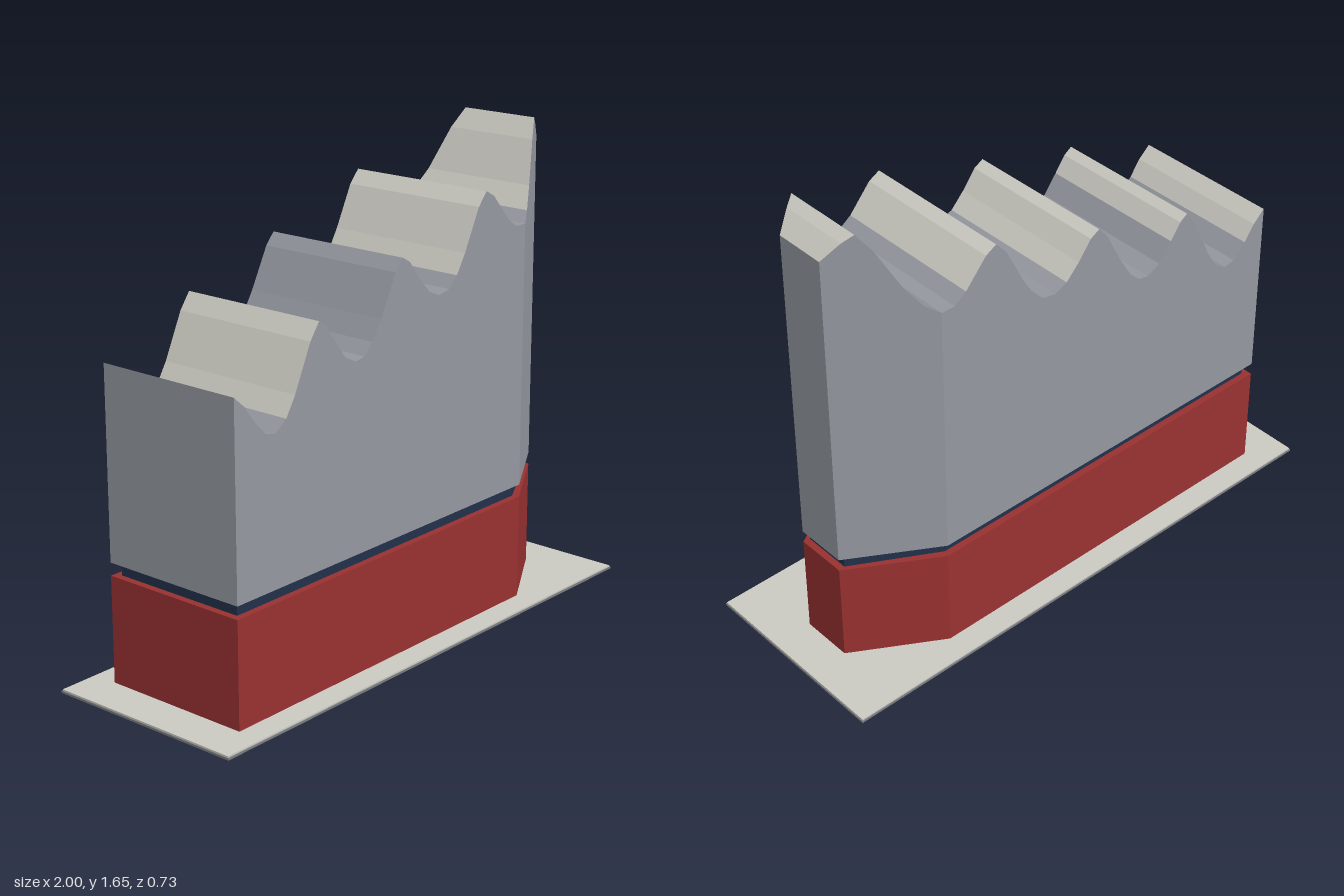
import * as THREE from 'three';

const mat = (name, color) => {
  const m = new THREE.MeshStandardMaterial({ color });
  m.name = name;
  return m;
};

// Half depth of the plan: straight sides, tapering to a blunt prow at +x
const halfDepth = (x) => (x <= 0.555 ? 0.272 : 0.272 - ((x - 0.555) / 0.3) * 0.18);

// Wave roof profile: x, y
const ROOF = [
  [-0.855, 1.075], [-0.81, 1.035], [-0.77, 0.98], [-0.72, 0.93], [-0.68, 0.92], [-0.63, 0.955],
  [-0.59, 1.02], [-0.52, 1.17], [-0.48, 1.225], [-0.45, 1.205], [-0.41, 1.15], [-0.36, 1.085],
  [-0.31, 1.06], [-0.27, 1.067], [-0.23, 1.105], [-0.19, 1.17], [-0.12, 1.305], [-0.085, 1.345],
  [-0.05, 1.325], [0, 1.26], [0.05, 1.208], [0.1, 1.187], [0.15, 1.197], [0.19, 1.235],
  [0.23, 1.3], [0.3, 1.44], [0.34, 1.485], [0.38, 1.463], [0.46, 1.372], [0.505, 1.34],
  [0.555, 1.34], [0.6, 1.373], [0.65, 1.445], [0.72, 1.585], [0.765, 1.65], [0.8, 1.625], [0.855, 1.57],
];

// Stretches of the roof with pale cladding
const PALE = [[-0.855, -0.77], [-0.63, -0.41], [-0.085, 0.05], [0.19, 0.46], [0.6, 0.855]];

// Flat-faced geometry from quads with corners in counter-clockwise order
function quadGeometry(quads) {
  const p = [];
  for (const [a, b, c, d] of quads) p.push(...a, ...b, ...c, ...a, ...c, ...d);
  const g = new THREE.BufferGeometry();
  g.setAttribute('position', new THREE.Float32BufferAttribute(p, 3));
  g.computeVertexNormals();
  return g;
}

// Prism over the building plan, drawn in by inset
function planPrism(inset, y0, y1) {
  const e = 0.855 - inset, w = 0.272 - inset, t = 0.092 - inset * 0.15, k = 0.555 - inset * 0.3;
  const shape = new THREE.Shape(
    [[-e, -w], [k, -w], [e, -t], [e, t], [k, w], [-e, w]].map(([x, z]) => new THREE.Vector2(x, z)));
  const g = new THREE.ExtrudeGeometry(shape, { depth: y1 - y0, bevelEnabled: false });
  g.rotateX(-Math.PI / 2);
  g.translate(0, y0, 0);
  return g;
}

export function createModel() {
  const group = new THREE.Group();
  const grey = mat('wall grey', 0x94989f);
  const red = mat('base red', 0x993131);
  const navy = mat('band navy', 0x22304a);
  const pale = mat('pale stone', 0xcbcac2);
  const dark = mat('slab grey', 0x7a7c80);
  const add = (name, geometry, material) => {
    const m = new THREE.Mesh(geometry, material);
    m.name = name;
    group.add(m);
    return m;
  };

  // Ground slab with a pale top
  add('groundSlab', new THREE.BoxGeometry(2, 0.007, 0.726), dark).position.y = 0.0035;
  add('paving', new THREE.BoxGeometry(1.994, 0.005, 0.72), pale).position.y = 0.0095;

  // Plinth and recessed band
  add('plinth', planPrism(0, 0.012, 0.378), red);
  add('recessedBand', planPrism(0.024, 0.378, 0.422), navy);

  // Walls, underside and roof strips, one slice per profile step
  const bottom = 0.422;
  const walls = [], greyRoof = [], paleRoof = [];
  for (let i = 0; i < ROOF.length - 1; i++) {
    const [x0, y0] = ROOF[i], [x1, y1] = ROOF[i + 1];
    const w0 = halfDepth(x0), w1 = halfDepth(x1);
    walls.push([[x0, bottom, w0], [x1, bottom, w1], [x1, y1, w1], [x0, y0, w0]]);
    walls.push([[x1, bottom, -w1], [x0, bottom, -w0], [x0, y0, -w0], [x1, y1, -w1]]);
    walls.push([[x0, bottom, -w0], [x1, bottom, -w1], [x1, bottom, w1], [x0, bottom, w0]]);
    const mid = (x0 + x1) / 2;
    const strip = PALE.some(([a, b]) => mid > a && mid < b) ? paleRoof : greyRoof;
    strip.push([[x0, y0, w0], [x1, y1, w1], [x1, y1, -w1], [x0, y0, -w0]]);
  }
  // End walls: flat rear and narrow prow
  for (const [[x, y], s] of [[ROOF[0], -1], [ROOF[ROOF.length - 1], 1]]) {
    const w = halfDepth(x) * s;
    walls.push([[x, bottom, w], [x, bottom, -w], [x, y, -w], [x, y, w]]);
  }
  add('walls', quadGeometry(walls), grey);
  add('roofGreyStrips', quadGeometry(greyRoof), grey);
  add('roofPaleStrips', quadGeometry(paleRoof), pale);
  return group;
}
